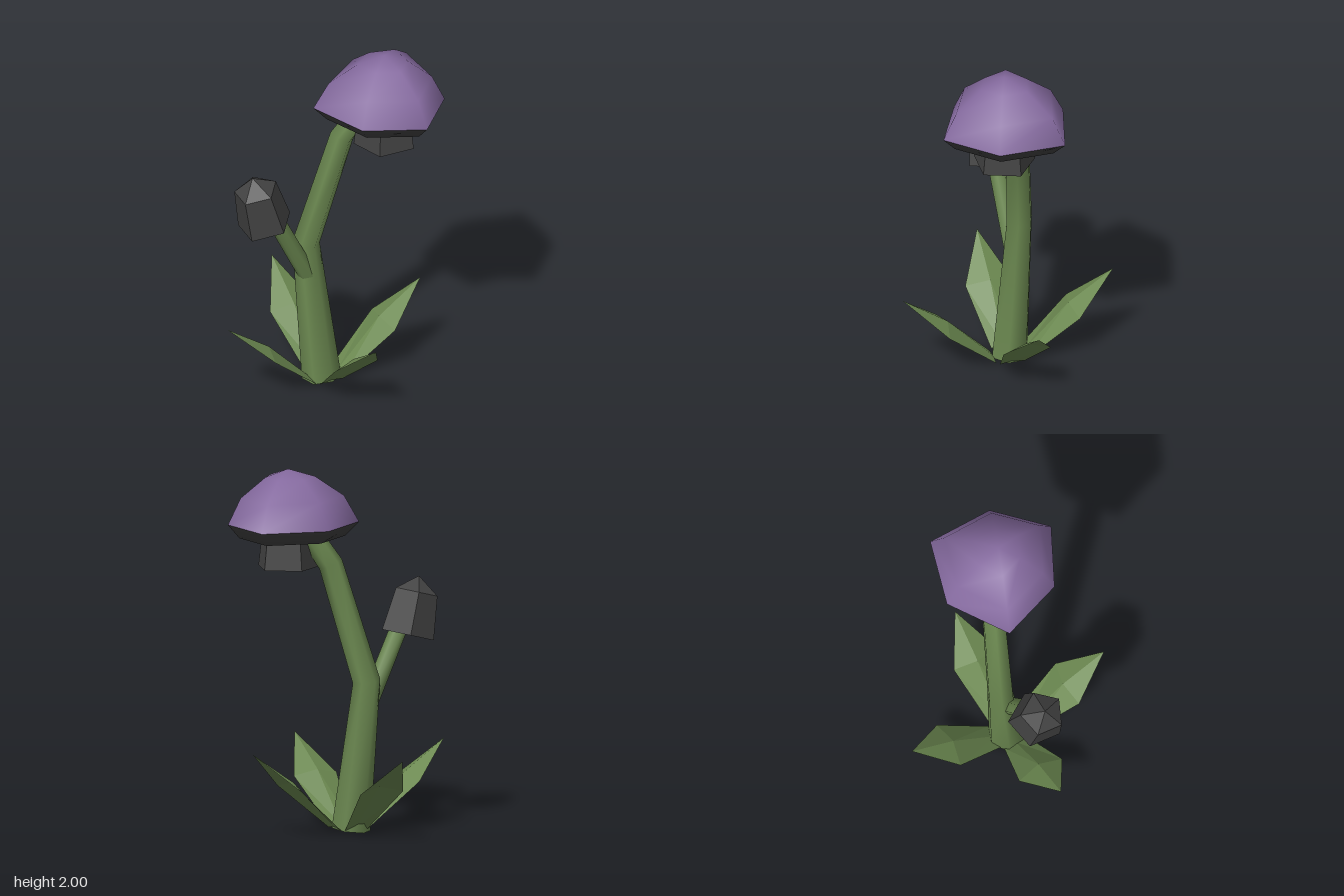
import * as THREE from 'three';
import { mergeVertices } from 'three/addons/utils/BufferGeometryUtils.js';

const UP = new THREE.Vector3(0, 1, 0);
const V = (x, y, z) => new THREE.Vector3(x, y, z);

// Regular ring of points around a centre, facing along dir
function ring(center, dir, radius, sides, phase = 0) {
  const q = new THREE.Quaternion().setFromUnitVectors(UP, dir.clone().normalize());
  return Array.from({ length: sides }, (_, i) => {
    const a = phase + (i / sides) * Math.PI * 2;
    return V(Math.cos(a) * radius, 0, Math.sin(a) * radius).applyQuaternion(q).add(center);
  });
}

// Skin consecutive rings, listed from bottom to top
function loft(rings, flat) {
  const n = rings[0].length;
  const index = [];
  for (let k = 0; k < rings.length - 1; k++) {
    for (let i = 0; i < n; i++) {
      const a = k * n + i, b = k * n + ((i + 1) % n);
      index.push(a, a + n, b, b, a + n, b + n);
    }
  }
  let geo = new THREE.BufferGeometry().setFromPoints(rings.flat());
  geo.setIndex(index);
  geo = flat ? geo.toNonIndexed() : mergeVertices(geo);
  geo.computeVertexNormals();
  return geo;
}

export function createModel() {
  const group = new THREE.Group();
  const material = (name, color) => {
    const m = new THREE.MeshStandardMaterial({ color });
    m.name = name;
    return m;
  };
  const green = material('leaf green', 0x6b8850);
  green.side = THREE.DoubleSide;
  const purple = material('cap purple', 0x856a9f);
  const grey = material('dark grey', 0x434343);

  const add = (name, geo, mat) => {
    const mesh = new THREE.Mesh(geo, mat);
    mesh.name = name;
    group.add(mesh);
    return mesh;
  };

  // Main stem, bent at the fork and again under the cap
  const base = ring(V(-0.065, 0.012, -0.008), V(-0.1, 1, -0.04), 0.107, 6);
  add('stem', loft([
    base,
    ring(V(-0.142, 0.83, -0.055), V(0.12, 1, 0), 0.076, 6),
    ring(V(0.055, 1.48, -0.06), V(0.42, 1, 0.03), 0.067, 6),
    ring(V(0.19, 1.68, -0.04), V(0.6, 1, 0.1), 0.06, 6),
  ]), green);
  add('stemBase', loft([base.map(() => V(-0.065, 0.012, -0.008)), base], true), green);

  // Side branch carrying the bud
  const branchDir = V(-0.22, 0.48, 0.11);
  add('branch', loft([
    ring(V(-0.135, 0.64, -0.02), branchDir, 0.05, 6),
    ring(V(-0.36, 1.13, 0.1), branchDir, 0.048, 6),
  ]), green);

  // Closed bud
  const budDir = V(-0.075, 0.315, 0.04);
  const budBase = V(-0.388, 1.055, 0.1);
  const budRing = (t, r) =>
    ring(budBase.clone().addScaledVector(budDir, t), budDir, r, 5, -1.54);
  add('bud', loft([budRing(0, 0), budRing(0, 0.152), budRing(0.73, 0.122), budRing(1, 0)], true), grey);

  // Short block hanging under the cap
  const blockRing = (y, r) => ring(V(0.285, y, 0), UP, r, 5, Math.PI / 5);
  add('capCore', loft([blockRing(1.46, 0), blockRing(1.46, 0.174), blockRing(1.65, 0.15)], true), grey);

  // Cap with a slightly irregular six-sided rim
  const rim = [[0.61, 0], [0.468, 0.317], [0.12, 0.282], [-0.11, 0], [0.11, -0.31], [0.48, -0.345]];
  const capRing = (y, s) => rim.map(([x, z]) => V(0.28 + (x - 0.28) * s, y, z * s));
  add('cap', loft([capRing(1.7, 1), capRing(1.845, 0.79), capRing(1.955, 0.38), capRing(2, 0)]), purple);
  add('capUnderside', loft([capRing(1.635, 0), capRing(1.625, 0.81), capRing(1.7, 1)]), grey);

  // Four creased leaves around the foot: +z is the way each leaf points
  const leafGeo = new THREE.BufferGeometry().setFromPoints([
    V(-0.07, 0.02, 0.085), V(0, 0.03, 0.085), V(0.07, 0.02, 0.085),
    V(-0.133, 0.262, 0.367), V(0, 0.293, 0.34), V(0.133, 0.262, 0.367),
    V(0, 0.467, 0.595),
  ]);
  leafGeo.setIndex([0, 1, 4, 0, 4, 3, 1, 2, 5, 1, 5, 4, 3, 4, 6, 4, 5, 6].reverse());
  const leafFlat = leafGeo.toNonIndexed();
  leafFlat.computeVertexNormals();
  for (let i = 0; i < 4; i++) {
    const leaf = add('leaf' + (i + 1), leafFlat, green);
    leaf.position.set(-0.052, 0, 0);
    leaf.rotation.y = 0.352 + (i * Math.PI) / 2;
  }
  return group;
}
